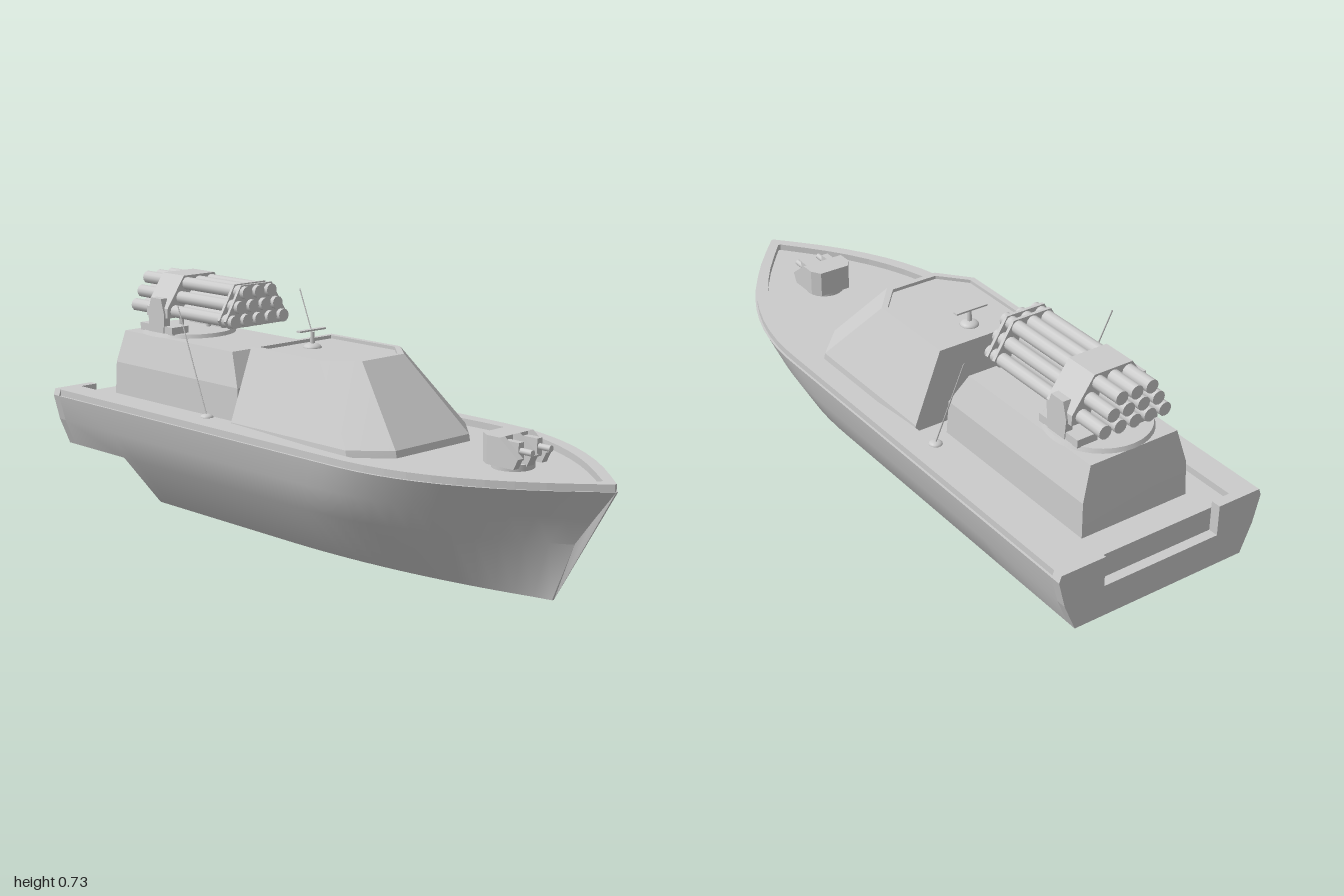
import * as THREE from 'three';
import { toCreasedNormals } from 'three/addons/utils/BufferGeometryUtils.js';

const grey = new THREE.MeshStandardMaterial({ color: 0xcccccc, side: THREE.DoubleSide });

function add(parent, name, geometry, x = 0, y = 0, z = 0) {
  const mesh = new THREE.Mesh(geometry, grey);
  mesh.name = name;
  mesh.position.set(x, y, z);
  parent.add(mesh);
  return mesh;
}

// Skin over a list of equal-length closed rings, capped at both ends
function loft(rings, crease = 0.1) {
  const pos = [];
  const tri = (a, b, c) => pos.push(...a, ...b, ...c);
  const n = rings[0].length, last = rings[rings.length - 1];
  for (let i = 0; i < rings.length - 1; i++) {
    for (let j = 0; j < n; j++) {
      const k = (j + 1) % n, p = rings[i], q = rings[i + 1];
      tri(p[j], p[k], q[k]);
      tri(p[j], q[k], q[j]);
    }
  }
  for (let j = 1; j < n - 1; j++) {
    tri(rings[0][0], rings[0][j + 1], rings[0][j]);
    tri(last[0], last[j], last[j + 1]);
  }
  const g = new THREE.BufferGeometry();
  g.setAttribute('position', new THREE.Float32BufferAttribute(pos, 3));
  return toCreasedNormals(g, crease);
}

// Extrude a polygon outline along +z
function extrude(points, depth) {
  const shape = new THREE.Shape(points.map(([x, y]) => new THREE.Vector2(x, y)));
  return new THREE.ExtrudeGeometry(shape, { depth, bevelEnabled: false });
}

// Extrude a (z, y) side profile across the width, centred on x = 0
function sideProfile(points, width) {
  return extrude(points.map(([z, y]) => [-z, y]), width).rotateY(Math.PI / 2).translate(-width / 2, 0, 0);
}

// Mirror a right half outline into a full one
const mirror = half => [...half, ...half.map(([x, y]) => [-x, y]).reverse()];

// Rod between two points
function rod(a, b, r, sides = 8) {
  const path = new THREE.LineCurve3(new THREE.Vector3(...a), new THREE.Vector3(...b));
  return new THREE.TubeGeometry(path, 1, r, sides);
}

// Half width that narrows from z = start to the stem
function taper(z, width, start, stem) {
  const t = Math.max(0, (z - start) / (stem - start));
  return Math.max(0.004, width * (1 - Math.pow(Math.min(t, 1), 2.1)));
}

function buildHull(boat) {
  // Levels: height, half width, where the taper starts, stem position
  const levels = [
    [0, 0.14, -0.1, 0.8], [0.17, 0.28, 0.1, 0.87],
    [0.255, 0.316, 0.2, 0.935], [0.337, 0.337, 0.3, 1],
  ];
  const ring = (half) => [...half, ...half.map(([x, y, z]) => [-x, y, z]).reverse()];
  // The stern overhang has its bottom raised to the chine
  const overhang = z => ring(levels.map(([y, w], i) => (i ? [w, y, z] : [0.28, 0.17, z])));
  const rings = [overhang(-0.97), overhang(-0.71)];
  const steps = 28;
  for (let s = 0; s <= steps; s++) {
    rings.push(ring(levels.map(([y, w, start, stem]) => {
      const z = -0.71 + (s / steps) * (stem + 0.71);
      return [taper(z, w, start, stem), y, z];
    })));
  }
  add(boat, 'hull', loft(rings, 0.5));

  // Transom with the central cut-out
  add(boat, 'transom', extrude(mirror([
    [0.28, 0.17], [0.316, 0.255], [0.337, 0.337], [0.33, 0.357], [0.19, 0.357], [0.19, 0.265],
  ]), 0.03), 0, 0, -1);

  // Raised gunwale, a U-shaped strip open at the stern
  const outer = [], inner = [];
  for (let i = 0; i <= 30; i++) {
    const z = -0.97 + (i / 30) * 1.965;
    outer.push([taper(z, 0.33, 0.3, 0.995), -z]);
    const zi = -0.97 + (i / 30) * 1.92;
    const width = 0.25 + 0.04 * THREE.MathUtils.smoothstep(zi, -0.3, 0.3);
    inner.push([taper(zi, width, 0.3, 0.95), -zi]);
  }
  const flip = list => list.map(([x, y]) => [-x, y]);
  const outline = [...outer, ...flip(outer).reverse(), ...flip(inner), ...[...inner].reverse()];
  add(boat, 'gunwale', extrude(outline, 0.022).rotateX(-Math.PI / 2), 0, 0.335, 0);
}

function buildCabin(boat) {
  // Ring: side half width, front half width, back, chamfer and front positions
  const ring = (y, side, front, back, chamfer, nose) => [
    [front, y, nose], [side, y, chamfer], [side, y, back],
    [-side, y, back], [-side, y, chamfer], [-front, y, nose],
  ];
  add(boat, 'cabin', loft([
    ring(0.335, 0.247, 0.15, -0.23, 0.26, 0.36),
    ring(0.357, 0.245, 0.15, -0.23, 0.255, 0.355),
    ring(0.572, 0.163, 0.085, -0.23, 0.065, 0.157),
    ring(0.572, 0.145, 0.075, -0.213, 0.06, 0.14),
    ring(0.562, 0.145, 0.075, -0.213, 0.06, 0.14),
  ]));
  const radar = new THREE.Group();
  radar.name = 'radar';
  radar.position.set(0, 0.562, -0.14);
  add(radar, 'radarDome', new THREE.SphereGeometry(0.028, 16, 6, 0, Math.PI * 2, 0, Math.PI / 2).scale(1, 0.5, 1));
  add(radar, 'radarPost', new THREE.CylinderGeometry(0.006, 0.008, 0.045, 10), 0, 0.025, 0);
  add(radar, 'radarBar', new THREE.BoxGeometry(0.106, 0.005, 0.016), 0, 0.052, -0.005);
  boat.add(radar);
}

function buildRearHouse(boat) {
  const ring = (y, w, back, front) => [[w, y, front], [w, y, back], [-w, y, back], [-w, y, front]];
  add(boat, 'rearHouse', loft([
    ring(0.335, 0.175, -0.885, -0.28), ring(0.44, 0.172, -0.88, -0.285), ring(0.54, 0.143, -0.868, -0.34),
  ]));
}

function buildLauncher(boat) {
  const launcher = new THREE.Group();
  launcher.name = 'launcher';
  add(launcher, 'turntable', new THREE.CylinderGeometry(0.145, 0.15, 0.012, 32), 0, 0.546, -0.72);

  // Tubes stacked in rows of five, four and three
  [[5, 0.62], [4, 0.662], [3, 0.704]].forEach(([count, y]) => {
    for (let i = 0; i < count; i++) {
      const tube = new THREE.CylinderGeometry(0.02, 0.02, 0.49, 12).rotateX(Math.PI / 2);
      add(launcher, 'launchTube', tube, (i - (count - 1) / 2) * 0.049, y, -0.62);
    }
  });

  // Thin front frames and the thick rear clamp
  const frame = mirror([[0.108, 0.598], [0.125, 0.622], [0.062, 0.727]]);
  [-0.4, -0.43].forEach(z => add(launcher, 'tubeFrame', extrude(frame, 0.01), 0, 0, z));
  const clamp = mirror([[0.13, 0.6], [0.13, 0.63], [0.108, 0.662], [0.062, 0.729]]);
  add(launcher, 'tubeClamp', extrude(clamp, 0.105), 0, 0, -0.77);

  // Yoke arms on both sides
  const arm = [[-0.75, 0.55], [-0.68, 0.55], [-0.675, 0.61], [-0.69, 0.66], [-0.74, 0.66], [-0.755, 0.61]];
  for (const s of [-1, 1]) {
    add(launcher, 'yokeArm', sideProfile(arm, 0.024), s * 0.124, 0, 0);
    add(launcher, 'yokeFoot', new THREE.BoxGeometry(0.066, 0.024, 0.16), s * 0.1, 0.562, -0.72);
    add(launcher, 'yokeStrut', rod([s * 0.055, 0.55, -0.69], [s * 0.055, 0.61, -0.69], 0.008), 0, 0, 0);
  }
  boat.add(launcher);
}

function buildBowGun(boat) {
  const gun = new THREE.Group();
  gun.name = 'bowGun';
  gun.position.set(0.012, 0, 0);
  add(gun, 'gunBase', new THREE.CylinderGeometry(0.06, 0.06, 0.02, 20), 0, 0.345, 0.64);
  // Turret body with narrowed rear, then sloped cheeks around the barrels
  const plan = mirror([[0.05, -0.575], [0.069, -0.605], [0.069, -0.65]]);
  add(gun, 'gunBody', extrude(plan, 0.08).rotateX(-Math.PI / 2), 0, 0.35, 0);
  const cheek = [[0.64, 0.35], [0.7, 0.35], [0.715, 0.38], [0.65, 0.43], [0.64, 0.43]];
  [[-0.058, 0.022], [0, 0.03], [0.058, 0.022]].forEach(([x, w]) => add(gun, 'gunCheek', sideProfile(cheek, w), x, 0, 0));
  for (const s of [-1, 1]) {
    add(gun, 'gunCradle', new THREE.BoxGeometry(0.022, 0.05, 0.06), s * 0.038, 0.395, 0.67);
    add(gun, 'gunBarrel', new THREE.CylinderGeometry(0.009, 0.009, 0.09, 12).rotateX(Math.PI / 2), s * 0.038, 0.397, 0.695);
  }
  boat.add(gun);
}

function buildAntennas(boat) {
  for (const s of [-1, 1]) {
    const base = new THREE.SphereGeometry(0.02, 14, 6, 0, Math.PI * 2, 0, Math.PI / 2).scale(1, 0.5, 1);
    add(boat, 'antennaBase', base, s * 0.25, 0.357, -0.335);
    add(boat, 'antennaWhip', rod([s * 0.25, 0.36, -0.335], [s * 0.248, 0.677, -0.465], 0.002, 6));
  }
}

export function createModel() {
  const boat = new THREE.Group();
  boat.name = 'patrolBoat';
  buildHull(boat);
  buildCabin(boat);
  buildRearHouse(boat);
  buildLauncher(boat);
  buildBowGun(boat);
  buildAntennas(boat);
  return boat;
}
